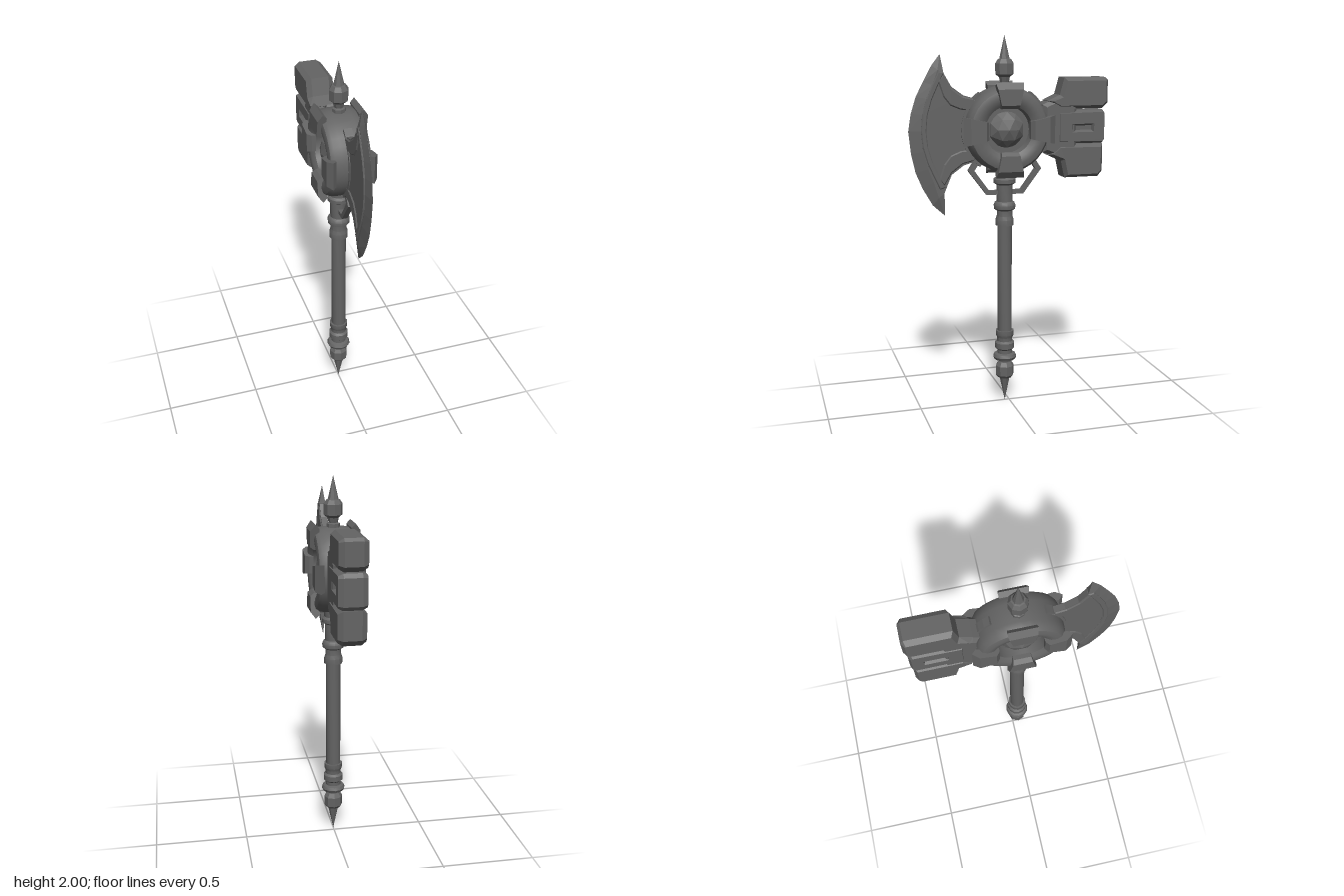
import * as THREE from 'three';
import { toCreasedNormals } from 'three/addons/utils/BufferGeometryUtils.js';

const CY = 1.515, CZ = 0.025; // hub centre
const smooth = new THREE.MeshStandardMaterial({ color: 0x646464 });
const flat = new THREE.MeshStandardMaterial({ color: 0x646464, flatShading: true });
const V = (pts) => pts.map(([a, b]) => new THREE.Vector2(a, b));
const flipY = (pts) => pts.map(([z, y]) => [z, 2 * CY - y]);

function add(parent, name, geometry, material = flat) {
  const mesh = new THREE.Mesh(geometry, material);
  mesh.name = name;
  parent.add(mesh);
  return mesh;
}

// Extrudes a (z, y) outline to a plate of the given total width, centred on x = 0
function plate(pts, width, bevel = 0, inset = bevel, hole = null) {
  const shape = new THREE.Shape(V(pts));
  if (hole) shape.holes.push(new THREE.Path(V(hole)));
  const depth = width - 2 * bevel;
  const g = new THREE.ExtrudeGeometry(shape, {
    depth, bevelEnabled: bevel > 0, bevelThickness: bevel,
    bevelSize: inset, bevelOffset: -inset, bevelSegments: 1,
  });
  return g.translate(0, 0, -depth / 2).rotateY(-Math.PI / 2);
}

function lathe(pts, sides) {
  return toCreasedNormals(new THREE.LatheGeometry(V(pts), sides), 0.6);
}

// Points along an arc around the origin
function arc(radius, from, to, steps = 12) {
  return Array.from({ length: steps + 1 }, (_, i) => {
    const a = from + (to - from) * i / steps;
    return [radius * Math.cos(a), radius * Math.sin(a)];
  });
}

// Blade lofted through rows of cutting edge, bevel line and inner edge
function bladeGeometry(rows, halfWidth) {
  const pos = [], idx = [], n = 5;
  rows.forEach(([o, b, i], k) => {
    const w = k === 0 || k === rows.length - 1 ? 0 : halfWidth;
    pos.push(0, o[1], o[0], w, b[1], b[0], w, i[1], i[0], -w, i[1], i[0], -w, b[1], b[0]);
  });
  for (let k = 0; k < rows.length - 1; k++) {
    for (let j = 0; j < n; j++) {
      const a = k * n + j, b = k * n + (j + 1) % n;
      idx.push(a, a + n, b, b, a + n, b + n);
    }
  }
  const g = new THREE.BufferGeometry();
  g.setAttribute('position', new THREE.Float32BufferAttribute(pos, 3));
  g.setIndex(idx);
  const out = g.toNonIndexed();
  out.computeVertexNormals();
  return out;
}

// Clamp bent over the hub rim, wider towards the outside
function clampGeometry() {
  const section = [[0.112, 0.085], [0.112, 0.108], [0.13, 0.13], [0.212, 0.13], [0.246, 0.105], [0.225, 0.083]];
  const g = new THREE.ExtrudeGeometry(new THREE.Shape(V(section)), { depth: 2, bevelEnabled: false });
  g.translate(0, 0, -1);
  const p = g.attributes.position;
  for (let i = 0; i < p.count; i++) {
    p.setZ(i, p.getZ(i) * (0.046 + 0.029 * (p.getX(i) - 0.112) / 0.134));
  }
  g.applyMatrix4(new THREE.Matrix4().makeBasis(
    new THREE.Vector3(0, 1, 0), new THREE.Vector3(1, 0, 0), new THREE.Vector3(0, 0, -1)));
  g.computeVertexNormals();
  return g;
}

export function createModel() {
  const model = new THREE.Group();
  model.name = 'battleAxe';

  // Handle with collars, and spikes at both ends
  const handle = new THREE.Group();
  handle.name = 'handle';
  handle.position.z = CZ;
  model.add(handle);
  add(handle, 'shaft', lathe([
    [0, 0.21], [0.03, 0.21], [0.03, 0.24], [0.058, 0.245], [0.065, 0.26], [0.058, 0.275], [0.042, 0.28],
    [0.042, 0.3], [0.054, 0.31], [0.054, 0.34], [0.043, 0.35], [0.043, 0.37], [0.05, 0.385], [0.05, 0.41],
    [0.04, 0.41], [0.04, 1], [0.05, 1], [0.05, 1.03], [0.043, 1.05], [0.043, 1.08], [0.058, 1.09],
    [0.06, 1.11], [0.053, 1.125], [0.045, 1.13], [0.045, 1.22], [0.06, 1.23], [0.06, 1.25], [0.048, 1.26],
    [0.05, 1.34], [0, 1.34]], 12), smooth);
  add(handle, 'pommelSpike', lathe([
    [0, 0], [0.029, 0.135], [0.038, 0.137], [0.05, 0.152], [0.051, 0.205], [0.036, 0.228], [0, 0.228]], 8));
  add(handle, 'topSpike', lathe([
    [0, 1.7], [0.035, 1.7], [0.035, 1.755], [0.024, 1.76], [0.03, 1.785], [0.049, 1.8], [0.05, 1.855],
    [0.036, 1.877], [0.028, 1.879], [0, 2]], 8));

  // Round hub with a recessed jewel on each side
  const hub = new THREE.Group();
  hub.name = 'hub';
  hub.position.set(0, CY, CZ);
  model.add(hub);
  const half = [[0.224, 0.05], [0.218, 0.085], [0.205, 0.103], [0.18, 0.11], [0.15, 0.105],
    [0.128, 0.09], [0.122, 0.04], [0, 0.04]];
  const profile = [...half.map(([r, x]) => [r, -x]).reverse(), ...half];
  add(hub, 'drum', lathe(profile, 32).rotateZ(-Math.PI / 2), smooth);
  add(hub, 'jewel', new THREE.IcosahedronGeometry(0.108, 1).scale(0.9, 1, 1));

  // Four clamps on each side
  const clamp = clampGeometry();
  for (const side of [0, Math.PI]) {
    const ring = new THREE.Group();
    ring.name = side ? 'rightClamps' : 'leftClamps';
    ring.rotation.y = side;
    hub.add(ring);
    for (let k = 0; k < 4; k++) add(ring, 'clamp', clamp).rotation.x = k * Math.PI / 2;
  }

  // Mounting bands on the rim, front and back
  for (const mid of [0, Math.PI]) {
    const outline = [...arc(0.238, mid - 0.95, mid + 0.95), ...arc(0.2, mid + 0.95, mid - 0.95)];
    add(hub, mid ? 'backMountingBand' : 'frontMountingBand', plate(outline, 0.042));
  }

  // Crescent blade
  add(model, 'blade', bladeGeometry([
    [[0.367, 1.905], [0.367, 1.905], [0.367, 1.905]],
    [[0.41, 1.85], [0.383, 1.825], [0.352, 1.81]],
    [[0.457, 1.765], [0.41, 1.75], [0.312, 1.74]],
    [[0.495, 1.69], [0.44, 1.68], [0.25, 1.695]],
    [[0.522, 1.605], [0.462, 1.6], [0.18, 1.675]],
    [[0.537, 1.515], [0.472, 1.515], [0.18, 1.515]],
    [[0.525, 1.4], [0.462, 1.41], [0.18, 1.352]],
    [[0.503, 1.3], [0.44, 1.32], [0.25, 1.332]],
    [[0.467, 1.215], [0.412, 1.25], [0.315, 1.285]],
    [[0.415, 1.125], [0.385, 1.165], [0.355, 1.19]],
    [[0.35, 1.066], [0.35, 1.066], [0.35, 1.066]]], 0.016));

  // Raised crescent behind the cutting edge, and rims along the inner edges
  const upperArc = [[0.378, 1.82], [0.412, 1.75], [0.443, 1.68], [0.466, 1.6], [0.474, 1.515]];
  const outerArc = [...upperArc, ...flipY(upperArc).reverse().slice(1)];
  const innerArc = outerArc.map(([z, y]) => [z - 0.028, CY + (y - CY) * 0.97]).reverse();
  add(model, 'bladeCrescent', plate([...outerArc, ...innerArc], 0.044, 0.005));
  const rim = [[0.355, 1.8], [0.315, 1.735], [0.255, 1.69], [0.17, 1.67], [0.17, 1.615],
    [0.265, 1.622], [0.32, 1.645], [0.355, 1.69], [0.382, 1.77]];
  add(model, 'upperBladeRim', plate(rim, 0.044, 0.006));
  add(model, 'lowerBladeRim', plate(flipY(rim), 0.044, 0.006));

  // Hammer: neck and three chamfered blocks
  add(model, 'hammerNeck', plate([[-0.17, 1.39], [-0.2, 1.38], [-0.32, 1.33], [-0.36, 1.4], [-0.36, 1.62],
    [-0.32, 1.7], [-0.2, 1.655], [-0.17, 1.64]], 0.135, 0.02));
  add(model, 'upperHammerBlock', plate([[-0.29, 1.78], [-0.265, 1.69], [-0.2, 1.66], [-0.26, 1.617],
    [-0.505, 1.617], [-0.535, 1.645], [-0.535, 1.765], [-0.52, 1.78]], 0.145, 0.026, 0.017));
  add(model, 'middleHammerBlock', plate([[-0.25, 1.435], [-0.25, 1.605], [-0.505, 1.61], [-0.52, 1.59],
    [-0.52, 1.45], [-0.505, 1.43]], 0.145, 0.026, 0.012,
  [[-0.342, 1.505], [-0.44, 1.505], [-0.44, 1.525], [-0.342, 1.525]]));
  add(model, 'slotFloor', new THREE.BoxGeometry(0.1, 0.05, 0.125).translate(0, CY, -0.391));
  add(model, 'lowerHammerBlock', plate([[-0.295, 1.25], [-0.275, 1.34], [-0.2, 1.375], [-0.26, 1.43],
    [-0.51, 1.428], [-0.51, 1.28], [-0.485, 1.25]], 0.145, 0.026, 0.017));

  // Bent braces between hub and handle
  const brace = [[0.158, 1.365], [0.2, 1.3], [0.1, 1.168], [0.04, 1.168], [0.04, 1.19], [0.088, 1.19],
    [0.168, 1.3], [0.125, 1.365]];
  for (const s of [1, -1]) {
    add(model, s > 0 ? 'frontBrace' : 'backBrace', plate(brace.map(([d, y]) => [CZ + s * d, y]), 0.03));
  }
  return model;
}
